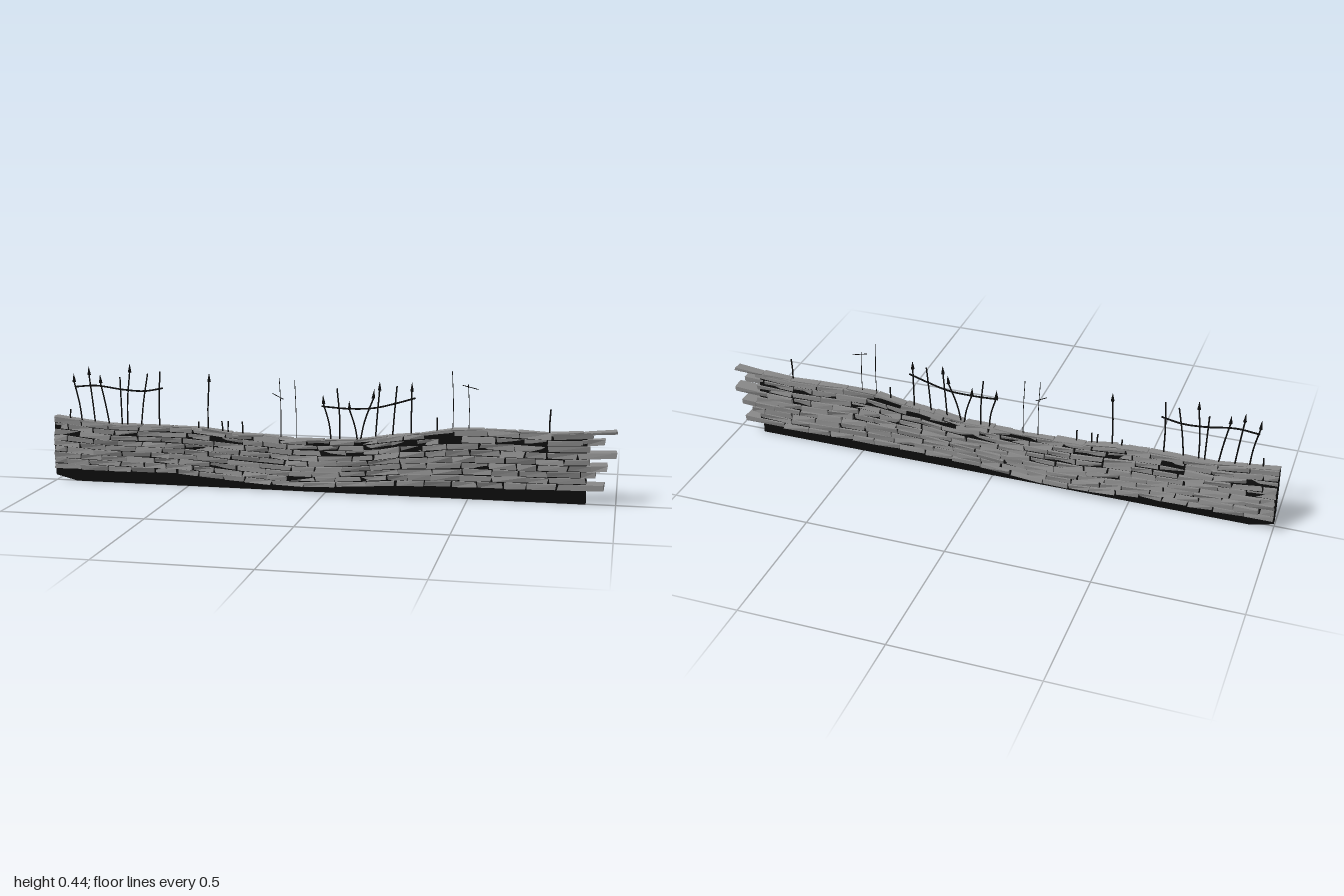
import * as THREE from 'three';
import { mergeGeometries } from 'three/addons/utils/BufferGeometryUtils.js';

let seed = 7;
const rnd = () => (seed = (seed * 16807) % 2147483647) / 2147483647;
const jit = (a) => (rnd() * 2 - 1) * a;

// smooth function of x through [x, value] points
function profile(points) {
  return (x) => {
    x = Math.min(Math.max(x, points[0][0]), points[points.length - 1][0]);
    let i = 0;
    while (i < points.length - 2 && x > points[i + 1][0]) i++;
    const [a, va] = points[i], [b, vb] = points[i + 1];
    return va + (vb - va) * THREE.MathUtils.smoothstep(x, a, b);
  };
}
const topY = profile([[-1, 0.235], [-0.8, 0.212], [-0.5, 0.212], [-0.3, 0.195], [-0.08, 0.186], [0.1, 0.19], [0.3, 0.22], [0.5, 0.245], [0.8, 0.239], [1, 0.253]]);
const bottomY = profile([[-1, 0.045], [-0.6, 0.045], [-0.15, 0.021], [0.35, 0.045], [1, 0.05]]);
const midZ = profile([[-1, -0.013], [-0.75, -0.01], [-0.35, -0.018], [0.05, 0.012], [0.4, 0.003], [0.8, -0.01], [1, -0.01]]);
const halfWidth = profile([[0, 0.035], [0.3, 0.033], [0.55, 0.03], [0.75, 0.022], [0.9, 0.015], [1, 0.014]]);

// place wall coordinates (x along, v up 0..1, s across -1..1) in space
function onWall(x, v, s, w) {
  return [x, THREE.MathUtils.lerp(bottomY(x), topY(x), v), midZ(x) * (1 - 0.6 * v) + s * w];
}

// one irregular stone from x0..x1, v0..v1
function stone(x0, x1, v0, v1, w) {
  const g = new THREE.BoxGeometry(2, 2, 2);
  const p = g.attributes.position;
  const off = {};
  for (let i = 0; i < p.count; i++) {
    const sx = p.getX(i), sy = p.getY(i), sz = p.getZ(i);
    const o = (off[`${sx},${sy},${sz}`] ??= [jit(0.004), jit(0.009), jit(0.005)]);
    const x = Math.min(Math.max((sx < 0 ? x0 : x1) + o[0], -1), 1);
    const q = onWall(x, (sy < 0 ? v0 : v1) + o[1], sz, w + o[2]);
    p.setXYZ(i, ...q);
  }
  const flat = g.toNonIndexed();
  flat.computeVertexNormals();
  return flat;
}

function buildStones() {
  const rows = 9, ends = [0.96, 0.9, 0.93, 0.97, 0.91, 1, 0.91, 0.96, 0.92];
  const parts = [];
  for (let r = 0; r < rows; r++) {
    let x = -1;
    let len = r % 2 ? 0.05 : 0.1;
    while (x < ends[r] - 0.001) {
      let x1 = x + len;
      if (ends[r] - x1 < 0.05) x1 = ends[r];
      const w = halfWidth((r + 0.5) / rows) + jit(0.004);
      parts.push(stone(x + 0.002, x1 - 0.002, r / rows + 0.008, (r + 1) / rows - 0.008, w));
      x = x1;
      len = 0.07 + rnd() * 0.05;
    }
  }
  return mergeGeometries(parts);
}

// thin coping slabs along the ridge
function buildCoping() {
  const parts = [];
  for (let i = 0; i < 18; i++) {
    const x0 = -1 + i / 9;
    parts.push(stone(x0, x0 + 1 / 9 - 0.003, 0.965, 1.015, 0.014));
  }
  return mergeGeometries(parts);
}

// dark mortar filling the joints
function buildCore() {
  const g = new THREE.BoxGeometry(1.9, 1, 2, 48, 8, 1);
  const p = g.attributes.position;
  for (let i = 0; i < p.count; i++) {
    const v = (p.getY(i) + 0.5) * 0.96;
    p.setXYZ(i, ...onWall(p.getX(i) - 0.05, v, p.getZ(i), halfWidth(v) * 0.8));
  }
  g.computeVertexNormals();
  return g;
}

function tube(points, radius, segs = 8) {
  const curve = new THREE.CatmullRomCurve3(points.map((q) => new THREE.Vector3(...q)));
  return new THREE.TubeGeometry(curve, segs, radius, 5);
}

// bent iron bar, optionally with a spear tip
function bar(x0, x1, y1, z, radius, tip) {
  const y0 = topY(x0) - 0.02;
  const bend = (x1 - x0) * 0.35 + jit(0.003);
  const end = tip ? y1 - 0.03 : y1;
  const parts = [tube([[x0, y0, 0], [x0 + bend, (y0 + end) / 2, z * 0.6], [x1, end, z]], radius)];
  if (tip) {
    const cone = new THREE.ConeGeometry(0.0065, 0.032, 6);
    cone.rotateZ((x0 - x1) * 2);
    cone.translate(x1, y1 - 0.016, z);
    parts.push(cone);
  }
  return mergeGeometries(parts);
}

export function createModel() {
  const root = new THREE.Group();
  const stoneMat = new THREE.MeshStandardMaterial({ color: 0x888888, flatShading: true });
  const darkMat = new THREE.MeshStandardMaterial({ color: 0x0c0c0c });
  const add = (name, geo, mat, parent = root) => {
    const m = new THREE.Mesh(geo, mat);
    m.name = name;
    parent.add(m);
    return m;
  };

  add('wallStones', buildStones(), stoneMat);
  add('copingSlabs', buildCoping(), stoneMat);
  add('mortarCore', buildCore(), darkMat);

  // foundation with a chamfered left foot
  const outline = [[-1, 0.02], [-0.92, 0], [0.9, 0], [0.9, 0.05], [0.35, 0.045], [-0.15, 0.03], [-0.6, 0.045], [-1, 0.05]];
  const base = new THREE.ExtrudeGeometry(new THREE.Shape(outline.map((q) => new THREE.Vector2(...q))), { depth: 0.024, bevelEnabled: false });
  base.translate(0, 0, -0.018);
  add('foundation', base, darkMat);

  // railings: foot x, top x, top y, top z, spear tip
  const railings = {
    leftRailing: [
      [-0.895, -0.92, 0.395, 0.01, true], [-0.845, -0.868, 0.42, -0.004, true], [-0.79, -0.82, 0.395, 0.011, true],
      [-0.745, -0.75, 0.385, 0, false], [-0.725, -0.713, 0.435, 0, true], [-0.675, -0.648, 0.4, -0.005, false],
      [-0.605, -0.6, 0.41, 0.002, false]],
    middleRailing: [
      [0.02, -0.01, 0.345, -0.006, true], [0.05, 0.04, 0.37, 0, false], [0.115, 0.085, 0.33, 0.008, true],
      [0.12, 0.168, 0.37, -0.006, true], [0.175, 0.19, 0.4, 0.002, true], [0.235, 0.25, 0.385, -0.002, false],
      [0.3, 0.302, 0.4, 0, true]],
    singleBar: [[-0.425, -0.42, 0.41, 0, true]],
  };
  const groups = {};
  for (const [name, bars] of Object.entries(railings)) {
    const g = (groups[name] = new THREE.Group());
    g.name = name;
    root.add(g);
    for (const [x0, x1, y, z, tip] of bars) add('ironBar', bar(x0, x1, y, z, 0.0028, tip), darkMat, g);
  }
  add('rail', tube([[-0.92, 0.345, 0.004], [-0.84, 0.352, 0.004], [-0.74, 0.34, 0], [-0.66, 0.337, 0], [-0.59, 0.35, 0]], 0.0032, 16), darkMat, groups.leftRailing);
  add('rail', tube([[-0.015, 0.305, 0], [0.08, 0.3, 0.002], [0.17, 0.305, 0], [0.25, 0.325, 0], [0.315, 0.345, 0]], 0.0032, 16), darkMat, groups.middleRailing);

  // slender bars with short cross pieces
  for (const [x, y] of [[-0.165, 0.4], [-0.11, 0.395], [0.44, 0.442], [0.495, 0.4]]) {
    add('slenderBar', bar(x + 0.004, x, y, 0.003, 0.0012, false), darkMat);
  }
  add('crossPiece', tube([[-0.19, 0.345, 0.002], [-0.15, 0.325, 0.002]], 0.0014, 2), darkMat);
  add('crossPiece', tube([[0.475, 0.395, 0.002], [0.53, 0.382, 0.002]], 0.0014, 2), darkMat);

  // broken stubs
  for (const [x, y] of [[-0.94, 0.262], [-0.46, 0.235], [-0.375, 0.24], [-0.352, 0.24], [-0.3, 0.24], [0.39, 0.28], [0.775, 0.322]]) {
    add('barStub', bar(x, x, y, 0, 0.0028, false), darkMat);
  }
  return root;
}
